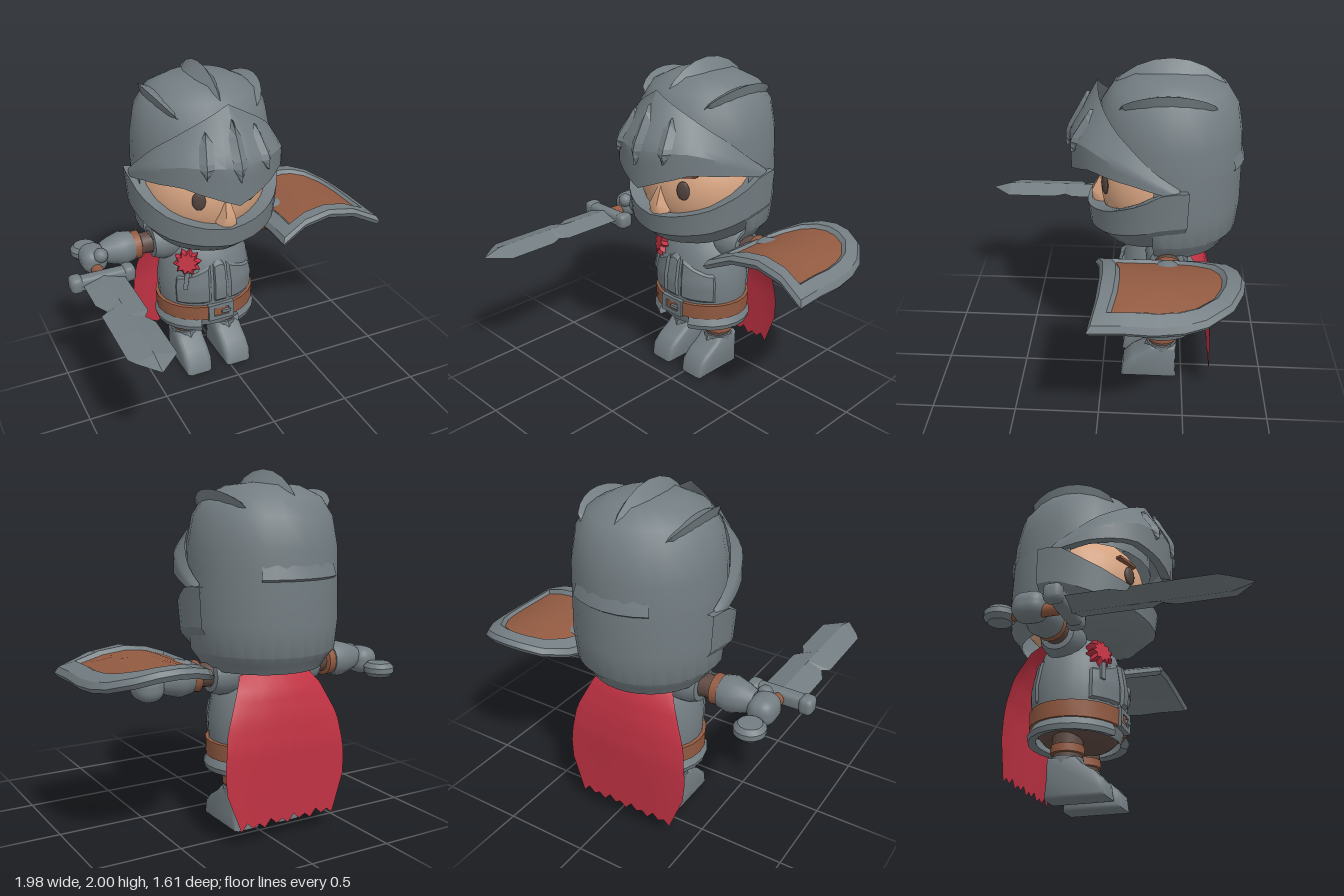
import * as THREE from 'three';
import { toCreasedNormals } from 'three/addons/utils/BufferGeometryUtils.js';
import { RoundedBoxGeometry } from 'three/addons/geometries/RoundedBoxGeometry.js';
import { ConvexGeometry } from 'three/addons/geometries/ConvexGeometry.js';

const CX = -0.08, CZ = -0.37; // body axis
const mat = (name, color) => new THREE.MeshStandardMaterial({ name, color, side: THREE.DoubleSide });
const V = (x, y, z) => new THREE.Vector3(x, y, z);

// piecewise linear lookup in [[t, value], ...]
function look(table, t) {
  for (let i = 1; i < table.length; i++) {
    const [t0, a] = table[i - 1], [t1, b] = table[i];
    if (t <= t1) return a + (b - a) * Math.max(0, (t - t0) / (t1 - t0));
  }
  return table[table.length - 1][1];
}

// surface through fn(u, v) -> Vector3
function grid(fn, nu, nv) {
  const pos = [], idx = [], w = nu + 1;
  for (let j = 0; j <= nv; j++) for (let i = 0; i <= nu; i++) pos.push(...fn(i / nu, j / nv).toArray());
  for (let j = 0; j < nv; j++) for (let i = 0; i < nu; i++) {
    const a = j * w + i;
    idx.push(a, a + 1, a + w, a + 1, a + w + 1, a + w);
  }
  const g = new THREE.BufferGeometry();
  g.setAttribute('position', new THREE.Float32BufferAttribute(pos, 3));
  g.setIndex(idx);
  return g;
}

const lathe = (pts, seg = 24, start = 0, len = Math.PI * 2) =>
  new THREE.LatheGeometry(pts.map(p => new THREE.Vector2(...p)), seg, start, len);
const polar = (deg, r, y) => V(CX + r * Math.sin(deg * Math.PI / 180), y, CZ + r * Math.cos(deg * Math.PI / 180));
const outline = pts => new THREE.Shape(pts.map(p => new THREE.Vector2(...p)));

export function createModel() {
  const model = new THREE.Group();
  model.name = 'knight';
  const steel = mat('steel', 0x737d82), leather = mat('leather', 0x925a41), cloth = mat('darkCloth', 0x5e4a42),
    red = mat('redCloth', 0xc03243), skin = mat('skin', 0xd8a582), eyeMat = mat('eyeDark', 0x54443f),
    browMat = mat('browBrown', 0x85553f);
  const add = (name, geo, m, x = 0, y = 0, z = 0, crease = 0.6) => {
    const mesh = new THREE.Mesh(toCreasedNormals(geo, crease), m);
    mesh.name = name;
    mesh.position.set(x, y, z);
    model.add(mesh);
    return mesh;
  };

  // ---- helmet shell
  add('helmetDome', lathe([[0.42, 1.44], [0.415, 1.6], [0.385, 1.76], [0.32, 1.86], [0.2, 1.92], [0, 1.94]]), steel, CX, 0, CZ);
  add('helmetBack', lathe([[0.34, 0.94], [0.37, 0.99], [0.41, 1.04], [0.425, 1.2], [0.42, 1.45]], 18, Math.PI * 0.44, Math.PI * 1.12), steel, CX, 0, CZ);
  add('helmetBackRidge', lathe([[0.41, 1.43], [0.436, 1.45], [0.412, 1.53]], 6, Math.PI * 0.82, Math.PI * 0.36), steel, CX, 0, CZ);

  // ---- three crest ridges along the dome
  const ridge = (name, tilt, from, to, base, top, width) => {
    const g = grid((u, v) => {
      const b = (from + (to - from) * v) * Math.PI / 180, k = Math.pow(Math.sin(Math.PI * v), 0.4);
      const r = u === 0.5 ? base + (top - base) * k : base - 0.03;
      return V((u - 0.5) * 2 * width * k, r * Math.cos(b), -r * Math.sin(b));
    }, 2, 10);
    g.rotateZ(tilt);
    add(name, g, steel, CX, 1.52, CZ, 0.4);
  };
  ridge('crestMiddle', 0, -58, 58, 0.42, 0.485, 0.085);
  for (const s of [-1, 1]) ridge('crestSide', -s * 0.73, -40, 36, 0.44, 0.51, 0.06);

  // ---- visor, a curved plate from cheek to cheek
  const visorTop = [[0, 1.88], [30, 1.76], [60, 1.62], [80, 1.5], [100, 1.4]];
  const visorLow = [[0, 1.34], [15, 1.4], [35, 1.46], [65, 1.43], [100, 1.36]];
  const visorPoint = (a, v, off = 0) => {
    const d = Math.abs(a), front = Math.max(0, Math.cos(a * Math.PI / 180)) ** 2;
    const low = look(visorLow, d), y = low + (look(visorTop, d) - low) * v;
    const r = look([[0, 0.455 + 0.105 * front], [0.45, 0.45 + 0.115 * front], [1, 0.425 - 0.02 * front]], v);
    return polar(a, r + off, y);
  };
  add('visor', grid((u, v) => {
    const a = -98 + 196 * u;
    return v < 0.1 ? visorPoint(a, 0.03, -0.06) : visorPoint(a, (v - 0.125) / 0.875);
  }, 24, 8), steel, 0, 0, 0, 0.5);
  for (const a of [-19, 0, 19]) {
    add('visorSlot', grid((u, v) => {
      const w = Math.min(1, 4 * v, 4 * (1 - v)) * 4.3;
      return visorPoint(a + (u - 0.5) * 2 * w, 0.27 + 0.6 * v, u === 0.5 ? 0.025 : 0.003);
    }, 2, 8), steel, 0, 0, 0, 0.1);
  }

  // ---- jaw guard
  const jawTop = [[0, 1.15], [20, 1.17], [45, 1.22], [70, 1.31], [88, 1.4], [104, 1.4]];
  const jawLow = [[0, 0.95], [45, 0.97], [90, 1.02], [104, 1.03]];
  add('jawGuard', grid((u, v) => {
    const a = -104 + 208 * u, d = Math.abs(a), t = look(jawTop, d), b = look(jawLow, d);
    const k = Math.round(v * 4);
    return polar(a, [0.37, 0.465, 0.45, 0.34, 0.16][k], [t - 0.01, t, b + (t - b) * 0.42, b, 0.92][k]);
  }, 22, 4), steel, 0, 0, 0, 0.5);

  // ---- face
  add('head', new THREE.SphereGeometry(1, 28, 20).scale(0.39, 0.38, 0.39), skin, CX, 1.28, CZ);
  add('nose', new ConvexGeometry([V(0, 1.36, -0.01), V(-0.07, 1.16, -0.02), V(0.07, 1.16, -0.02), V(-0.045, 1.14, 0.05),
    V(0.045, 1.14, 0.05), V(-0.03, 1.21, 0.07), V(0.03, 1.21, 0.07), V(0, 1.15, 0.07)]), skin, CX, 0, 0, 0.9);
  for (const s of [-1, 1]) {
    const eye = add('eye', new THREE.SphereGeometry(1, 16, 12).scale(0.04, 0.058, 0.015), eyeMat, CX + s * 0.163, 1.31, -0.015);
    eye.rotation.y = s * 0.42;
    const brow = add('eyebrow', new RoundedBoxGeometry(0.14, 0.024, 0.04, 1, 0.01), browMat, CX + s * 0.17, 1.4, -0.035);
    brow.rotation.set(0, s * 0.45, s * 0.14);
  }

  // ---- torso armour
  const torsoR = [[0.36, 0.27], [0.42, 0.29], [0.55, 0.3], [0.65, 0.305], [0.78, 0.28], [0.87, 0.245], [0.95, 0.18], [1, 0.1]];
  add('torso', lathe(torsoR.map(([y, r]) => [r, y])).scale(1, 1, 0.87), steel, CX, 0, CZ + 0.01);
  const chestPlate = (name, a0, a1, y0, top, off) => add(name, grid((u, v) => {
    const a = (a0 + (a1 - a0) * u) * Math.PI / 180, y = y0 + (top(u) - y0) * v;
    const edge = u === 0 || u === 1 || v === 0 || v === 1;
    const r = look(torsoR, y) + (edge ? -0.01 : off);
    return V(r * Math.sin(a), y, r * Math.cos(a) * 0.87);
  }, 10, 10), steel, CX, 0, CZ + 0.01, 0.4);
  for (const s of [-1, 1]) {
    chestPlate('breastPlate', s * 9, s * 58, 0.53, u => 0.82 - 0.09 * Math.sin(u * Math.PI / 2), 0.012);
    chestPlate('backPlate', s * 125, s * 172, 0.53, u => 0.82, 0.01);
  }
  chestPlate('breastRidge', -8, 8, 0.54, u => 0.81 + 0.02 * Math.sin(u * Math.PI), 0.022);
  add('belt', lathe([[0.28, 0.42], [0.315, 0.425], [0.318, 0.52], [0.28, 0.525]]).scale(1, 1, 0.87), leather, CX, 0, CZ + 0.01);
  add('armourSkirt', lathe([[0.27, 0.36], [0.32, 0.35], [0.328, 0.38], [0.3, 0.43]], 20, 0.4, Math.PI * 2 - 0.8).scale(1, 1, 0.87), steel, CX, 0, CZ + 0.01);
  add('trousers', new THREE.SphereGeometry(1, 20, 12).scale(0.27, 0.12, 0.235), cloth, CX, 0.43, CZ + 0.01);
  const frame = outline([[-0.085, -0.055], [0.085, -0.055], [0.085, 0.055], [-0.085, 0.055]]);
  frame.holes.push(outline([[-0.05, -0.028], [-0.05, 0.028], [0.05, 0.028], [0.05, -0.028]]));
  add('buckle', new THREE.ExtrudeGeometry(frame, { depth: 0.03, bevelEnabled: false }), steel, CX, 0.475, -0.11);
  add('buckleTongue', new THREE.BoxGeometry(0.06, 0.02, 0.03), steel, CX + 0.03, 0.475, -0.085);

  // ---- rosette with two ribbon ends
  const star = outline(Array.from({ length: 20 }, (_, i) => {
    const r = i % 2 ? 0.048 : 0.072, a = i * Math.PI / 10;
    return [r * Math.cos(a), r * Math.sin(a)];
  }));
  add('rosette', new THREE.ExtrudeGeometry(star, { depth: 0.03, bevelSize: 0.01, bevelThickness: 0.02, bevelSegments: 1 }), red, -0.25, 0.82, -0.2).rotation.set(-0.25, -0.5, 0);
  for (const s of [-1, 1]) {
    const ribbon = add('rosetteRibbon', new THREE.BoxGeometry(0.028, 0.11, 0.02), steel, -0.265 + s * 0.015, 0.71, -0.155);
    ribbon.rotation.set(-0.15, -0.5, s * 0.2);
  }

  // ---- cape
  const capeW = [[0, 0.2], [0.12, 0.27], [0.35, 0.36], [0.6, 0.39], [0.75, 0.38], [1, 0.3]];
  const capeZ = [[0, -0.52], [0.1, -0.6], [0.3, -0.645], [0.5, -0.665], [1, -0.665]];
  add('cape', grid((u, v) => {
    const s = u * 2 - 1, jag = [0, 0.03, 0.01, 0.045][Math.round(u * 16) % 4];
    return V(CX + s * look(capeW, v), 0.94 - (0.85 - jag) * v, look(capeZ, v) + 0.05 * s * s * (1 - v));
  }, 16, 16), red, 0, 0, 0, 1.2);

  // ---- legs and boots
  const bootSide = outline([[-0.14, 0.02], [-0.15, 0.08], [-0.2, 0.13], [-0.28, 0.18], [-0.31, 0.21], [-0.44, 0.21], [-0.44, 0.1], [-0.445, 0.02]]);
  for (const s of [-1, 1]) {
    const x = CX + s * 0.138;
    add('leg', new THREE.CylinderGeometry(0.09, 0.08, 0.25, 16), cloth, x, 0.3, CZ);
    add('legStrap', lathe([[0.08, 0.255], [0.094, 0.26], [0.094, 0.305], [0.08, 0.31]], 16), leather, x, 0, CZ);
    add('boot', new THREE.ExtrudeGeometry(bootSide, { depth: 0.12, bevelSize: 0.02, bevelThickness: 0.03, bevelSegments: 2 })
      .rotateY(-Math.PI / 2).translate(0.06, 0, 0), steel, x, 0, 0, 0.9);
    add('bootCuff', lathe([[0.08, 0.17], [0.092, 0.2], [0.092, 0.235], [0.07, 0.24]], 16), steel, x, 0, CZ);
    add('shinGuard', new THREE.OctahedronGeometry(1).scale(0.06, 0.075, 0.03), steel, x, 0.17, -0.285, 0.1);
  }

  // ---- arms, stretched sideways; distances run outward from the body axis
  for (const s of [-1, 1]) {
    const part = (name, pts, m) => {
      const g = lathe(pts.map(([d, r]) => [r, d]), 18).rotateZ(-s * Math.PI / 2);
      add(name, g, m, CX, 0.91, CZ - 0.01);
    };
    part('shoulderGuard', [[0.15, 0.1], [0.2, 0.125], [0.29, 0.12], [0.34, 0.1], [0.345, 0.07]], steel);
    part('sleeve', [[0.3, 0.07], [0.45, 0.062]], cloth);
    part('armStrap', [[0.41, 0.06], [0.42, 0.088], [0.47, 0.085], [0.48, 0.06]], leather);
    part('gauntlet', [[0.46, 0.06], [0.465, 0.092], [0.53, 0.105], [0.6, 0.085], [0.66, 0.06]], steel);
    add('hand', new RoundedBoxGeometry(0.16, 0.16, 0.19, 4, 0.07), steel, CX + s * 0.71, 0.885, CZ - 0.01, 1);
    add('thumb', new THREE.SphereGeometry(0.045, 12, 10), steel, CX + s * 0.68, 0.93, CZ + 0.06);
  }

  // ---- sword, pointing forward from the right hand
  const SX = -0.795, SY = 0.855;
  const edges = [[-0.15, -0.125, 0.125], [0.09, -0.125, 0.125], [0.17, -0.085, 0.125], [0.2, -0.125, 0.125], [0.25, -0.125, 0.125],
    [0.3, -0.125, 0.09], [0.37, -0.125, 0.125], [0.63, -0.125, 0.125], [0.68, -0.095, 0.125], [0.8, 0, 0]];
  add('blade', grid((u, v) => {
    const [z, l, r] = edges[Math.round(v * (edges.length - 1))], k = Math.round(u * 4) % 4, h = z > 0.75 ? 0 : 0.036;
    return V([l, 0, r, 0][k], [0, h, 0, -h][k], z);
  }, 4, edges.length - 1), steel, SX, SY, 0, 0.2);
  add('swordGuard', new RoundedBoxGeometry(0.38, 0.085, 0.08, 2, 0.025), steel, SX, SY, -0.18);
  for (const s of [-1, 1]) add('swordGuardEnd', new RoundedBoxGeometry(0.08, 0.1, 0.1, 2, 0.03), steel, SX + s * 0.157, SY, -0.185);
  add('grip', new THREE.CylinderGeometry(0.035, 0.035, 0.38, 12).rotateX(Math.PI / 2), leather, SX, SY, -0.37);
  add('pommel', lathe([[0, -0.045], [0.065, -0.04], [0.088, -0.015], [0.088, 0.015], [0.065, 0.04], [0, 0.045]], 16), steel, SX, SY, -0.545);

  // ---- shield, lying on the left forearm and bowed across its width
  const half = [[0, 0.365], [0.18, 0.375], [0.35, 0.41], [0.345, 0.22], [0.35, 0.07], [0.335, -0.08], [0.3, -0.2], [0.21, -0.33], [0.1, -0.385], [0, -0.4]];
  const rim = half.concat(half.slice(0, -1).reverse().map(([x, z]) => [-x, z]));
  const shieldPart = (name, rings, m) => add(name, grid((u, v) => {
    const [x, z] = rim[Math.round(u * (rim.length - 1))], [k, dy] = rings[Math.round(v * (rings.length - 1))];
    return V(x * k, 1.05 - 0.11 * (x * k / 0.35) ** 2 + dy, z * k);
  }, rim.length - 1, rings.length - 1), m, 0.64, 0, -0.38, 0.5);
  shieldPart('shieldRim', [[0, -0.05], [0.25, -0.05], [0.5, -0.05], [0.75, -0.05], [0.96, -0.05], [1, -0.02], [0.95, 0.005], [0.76, 0.008], [0.69, -0.02]], steel);
  shieldPart('shieldPanel', [[0.7, -0.014], [0.45, -0.014], [0.2, -0.014], [0, -0.014]], leather);
  add('shieldHandle', new RoundedBoxGeometry(0.14, 0.07, 0.12, 2, 0.03), cloth, 0.715, 0.945, CZ);

  return model;
}
